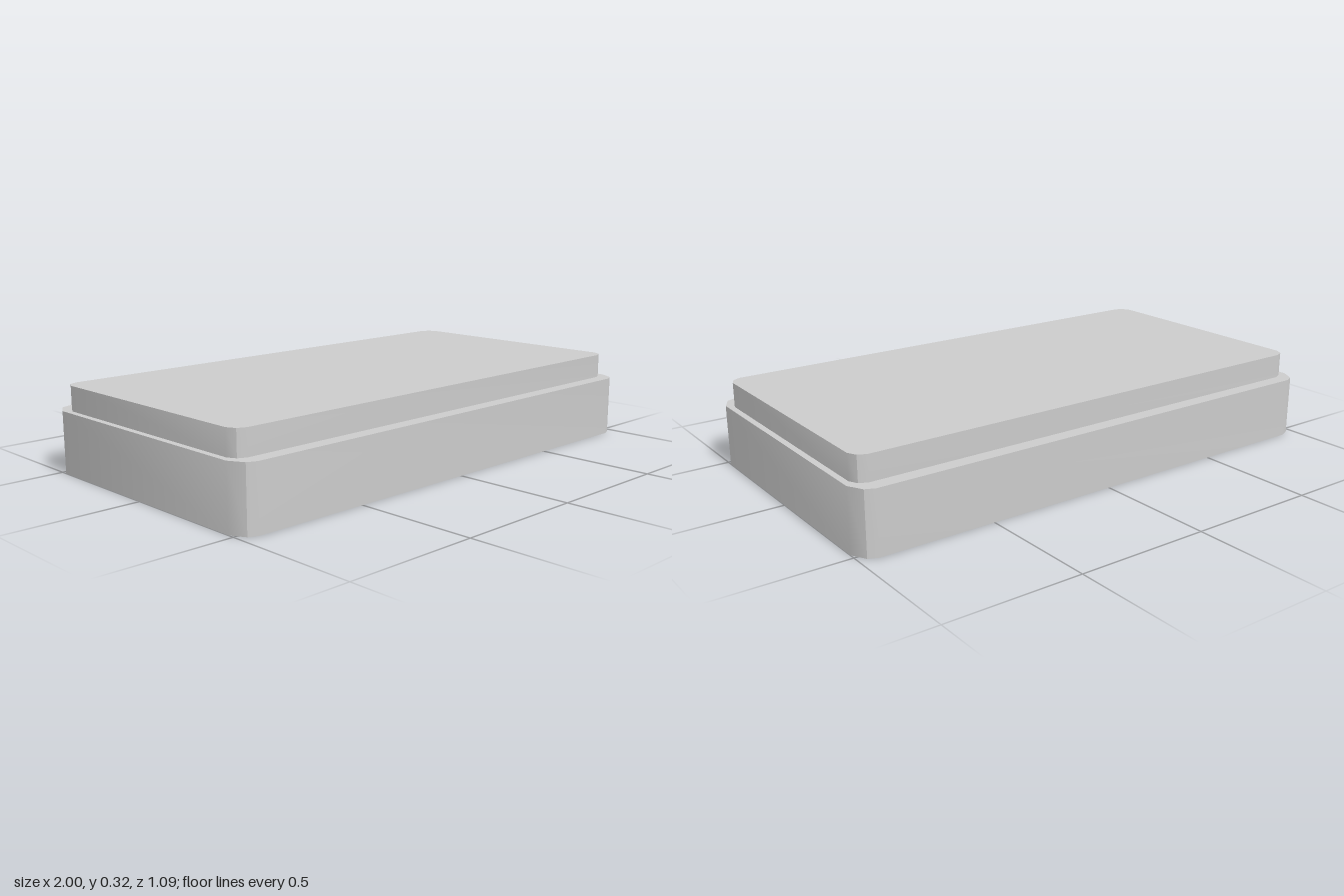
import * as THREE from 'three';
import { toCreasedNormals } from 'three/addons/utils/BufferGeometryUtils.js';

const material = new THREE.MeshStandardMaterial({ color: 0xcccccc });

// Upright slab with faceted corners; corner lists [x, z] points of the +x +z corner
function slab(name, corner, bottom, top) {
  const back = [...corner].reverse();
  const outline = [
    ...corner,
    ...back.map(([x, z]) => [-x, z]),
    ...corner.map(([x, z]) => [-x, -z]),
    ...back.map(([x, z]) => [x, -z]),
  ].map(([x, z]) => new THREE.Vector2(x, z));
  const geometry = new THREE.ExtrudeGeometry(new THREE.Shape(outline), {
    depth: top - bottom,
    bevelEnabled: false,
  });
  geometry.rotateX(-Math.PI / 2).translate(0, bottom, 0);
  const mesh = new THREE.Mesh(toCreasedNormals(geometry, 0.54), material);
  mesh.name = name;
  return mesh;
}

export function createModel() {
  const model = new THREE.Group();
  model.name = 'steppedBox';
  // Wide lower body
  model.add(slab('base', [[1, 0.475], [0.97, 0.53], [0.935, 0.545]], 0, 0.232));
  // Slightly smaller raised top
  model.add(slab('lid', [[0.977, 0.445], [0.961, 0.477], [0.93, 0.491]], 0.232, 0.325));
  return model;
}
